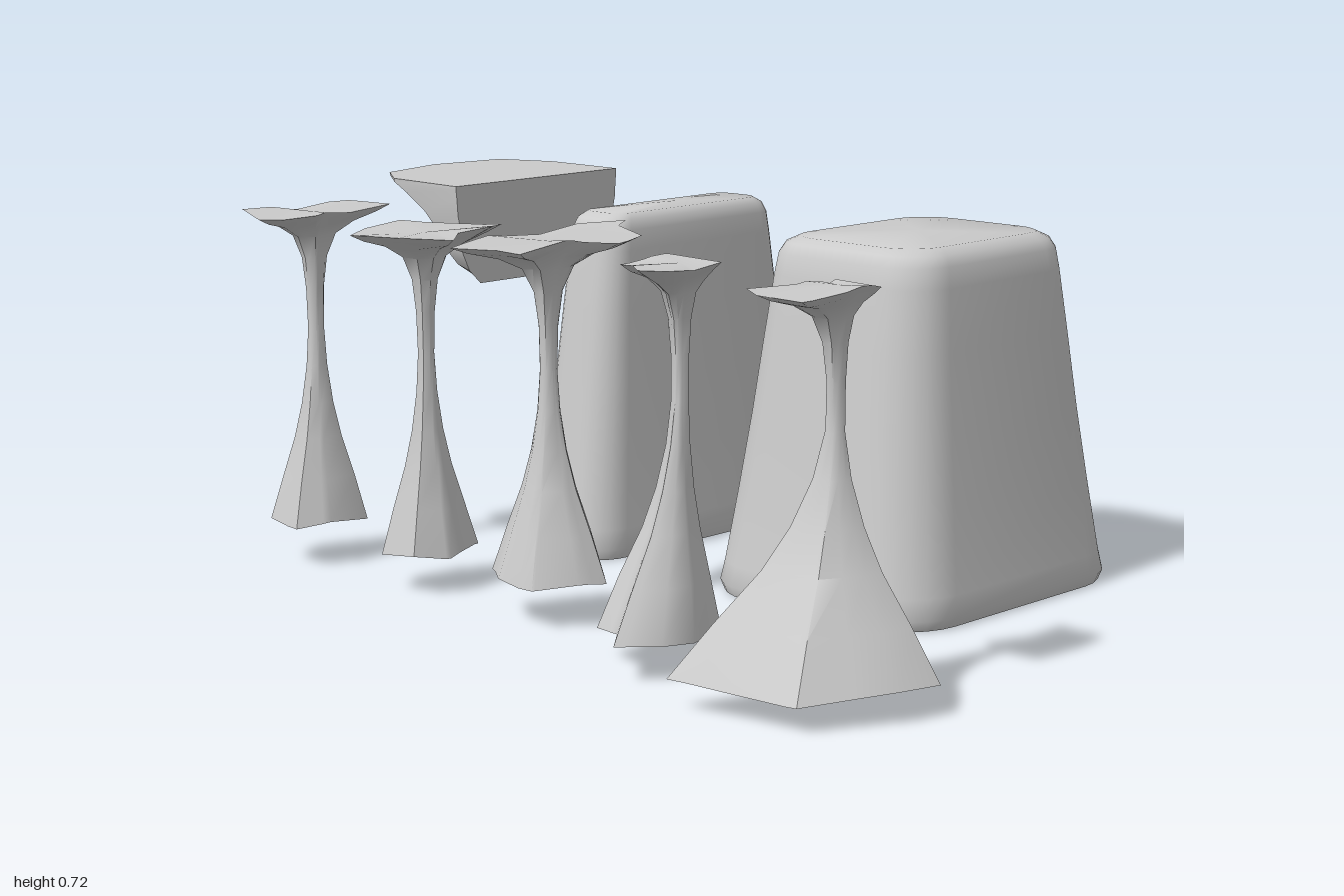
import * as THREE from 'three';
import { toCreasedNormals } from 'three/addons/utils/BufferGeometryUtils.js';

const stone = new THREE.MeshStandardMaterial({ color: 0xcccccc, side: THREE.DoubleSide });

// Closed skin over rings of [x, y, z] listed from bottom to top; lift moves the end centres.
function loft(name, rings, crease, bottomLift = 0, topLift = 0, hub = null) {
  const n = rings[0].length;
  const pos = rings.flat(2);
  const index = [];
  for (let r = 0; r < rings.length - 1; r++) {
    for (let i = 0; i < n; i++) {
      const a = r * n + i, b = r * n + (i + 1) % n;
      index.push(a, a + n, b, b, a + n, b + n);
    }
  }
  const addCap = (r, lift, up) => {
    const c = [0, 1, 2].map(k => rings[r].reduce((s, p) => s + p[k], 0) / n);
    if (hub) [c[0], c[2]] = hub;
    c[1] += lift;
    const id = pos.length / 3;
    pos.push(...c);
    for (let i = 0; i < n; i++) {
      const a = r * n + i, b = r * n + (i + 1) % n;
      index.push(id, up ? b : a, up ? a : b);
    }
  };
  addCap(0, bottomLift, false);
  addCap(rings.length - 1, topLift, true);
  const geo = new THREE.BufferGeometry();
  geo.setAttribute('position', new THREE.Float32BufferAttribute(pos, 3));
  geo.setIndex(index);
  const mesh = new THREE.Mesh(toCreasedNormals(geo, crease), stone);
  mesh.name = name;
  return mesh;
}

// Rounded rectangle ring with half sizes a (x) and b (z)
function roundedRing(cx, cz, y, a, b, r) {
  const ring = [], steps = 6;
  [[1, 1], [-1, 1], [-1, -1], [1, -1]].forEach(([sx, sz], q) => {
    for (let i = 0; i <= steps; i++) {
      const t = (q + i / steps) * Math.PI / 2;
      ring.push([cx + sx * (a - r) + r * Math.cos(t), y, cz + sz * (b - r) + r * Math.sin(t)]);
    }
  });
  return ring;
}

// Tapered block: rows are [height, inset x, inset z]
function block(name, cx, cz, a, b, radius) {
  const rows = [
    [0, 0.008, 0.008], [0.02, 0, 0.002], [0.06, 0.007, 0.01], [0.2, 0.026, 0.032],
    [0.35, 0.045, 0.054], [0.5, 0.062, 0.073], [0.62, 0.075, 0.09], [0.66, 0.081, 0.097],
    [0.68, 0.092, 0.108], [0.692, 0.115, 0.13],
  ];
  const k = a < 0.2 ? 0.55 : 1;  // the narrow block tapers less across x
  const rings = rows.map(([y, ix, iz]) =>
    roundedRing(cx, cz, y, a - ix * k, b - iz, Math.max(radius - ix * 0.45, 0.02)));
  return loft(name, rings, 0.9, 0, 0.004);
}

// Distance from hub to a star-shaped outline along a direction
function reach(outline, [hx, hz], t) {
  const dx = Math.cos(t), dz = Math.sin(t);
  let best = 0;
  outline.forEach(([x1, z1], i) => {
    const [x2, z2] = outline[(i + 1) % outline.length];
    const ex = x2 - x1, ez = z2 - z1, det = ex * dz - ez * dx;
    if (Math.abs(det) < 1e-9) return;
    const px = x1 - hx, pz = z1 - hz;
    const d = (ex * pz - ez * px) / det;
    const s = (dx * pz - dz * px) / det;
    if (d > 0 && s >= -1e-6 && s <= 1 + 1e-6) best = Math.max(best, d);
  });
  return best;
}

// Pillar flaring from a thin neck to a ragged foot and a thin ragged cap
function pillar(name, hub, footY, topY, foot, cap) {
  const angles = [...foot, ...cap]
    .map(([x, z]) => Math.atan2(z - hub[1], x - hub[0]))
    .sort((p, q) => p - q)
    .filter((t, i, all) => i === 0 || t - all[i - 1] > 0.03);
  // [height fraction, foot share, cap share, neck radius]
  const rows = [
    [0, 1, 0, 0], [0.14, 0.72, 0, 0.002], [0.27, 0.42, 0, 0.006], [0.38, 0.24, 0, 0.008],
    [0.5, 0.1, 0, 0.011], [0.62, 0.02, 0, 0.014], [0.75, 0, 0.03, 0.014], [0.85, 0, 0.08, 0.014],
    [0.92, 0, 0.2, 0.014], [0.955, 0, 0.46, 0.01], [0.98, 0, 0.82, 0], [1, 0, 1, 0],
  ];
  const rings = rows.map(([f, wf, wc, r]) => angles.map(t => {
    const d = wf * reach(foot, hub, t) + wc * reach(cap, hub, t) + r;
    const wave = 0.006 * Math.sin(3 * t + hub[0] * 9) * (wf === 1 || wc > 0.8 ? 1 : 0);
    return [hub[0] + d * Math.cos(t), footY + f * (topY - footY) + wave, hub[1] + d * Math.sin(t)];
  }));
  return loft(name, rings, 0.75, 0.02, -0.003, hub);
}

export function createModel() {
  const group = new THREE.Group();
  group.name = 'rockFormations';

  // Two standing blocks
  group.add(block('wideBlock', 0.405, -0.31, 0.275, 0.34, 0.13));
  group.add(block('narrowBlock', -0.25, -0.31, 0.117, 0.34, 0.085));

  // Overhanging ledge with a flat wall at x = -0.65
  const ledge = [[-0.65, -0.07], [-0.86, -0.08], [-0.955, -0.15], [-1, -0.32],
    [-0.975, -0.5], [-0.85, -0.55], [-0.65, -0.55]];
  const ledgeRows = [[0.5, 0.06, 0.72], [0.53, 0.22, 0.85], [0.57, 0.34, 0.93], [0.62, 0.45, 0.95],
    [0.65, 0.56, 0.98], [0.685, 0.82, 0.99], [0.705, 0.99, 1], [0.713, 1, 1]];
  group.add(loft('ledge', ledgeRows.map(([y, sx, sz]) => ledge.map(([x, z]) =>
    [-0.65 + (x + 0.65) * sx, y - (y < 0.6 ? (x + 0.65) * 0.04 : 0), -0.31 + (z + 0.31) * sz])), 0.7));

  // Row of five pillars, outlines as [x, z]
  group.add(pillar('pillar1', [-0.585, 0.37], 0.085, 0.71,
    [[-0.52, 0.3], [-0.515, 0.4], [-0.55, 0.46], [-0.63, 0.46], [-0.66, 0.42], [-0.67, 0.36], [-0.63, 0.3], [-0.58, 0.28]],
    [[-0.55, 0.2], [-0.54, 0.3], [-0.5, 0.43], [-0.57, 0.52], [-0.66, 0.49], [-0.655, 0.35], [-0.62, 0.25]]));
  group.add(pillar('pillar2', [-0.255, 0.37], 0.075, 0.7,
    [[-0.2, 0.29], [-0.18, 0.38], [-0.21, 0.45], [-0.29, 0.46], [-0.33, 0.4], [-0.32, 0.31], [-0.26, 0.27]],
    [[-0.21, 0.21], [-0.17, 0.27], [-0.18, 0.35], [-0.14, 0.4], [-0.18, 0.5], [-0.32, 0.5],
      [-0.37, 0.42], [-0.37, 0.33], [-0.28, 0.21]]));
  group.add(pillar('pillar3', [0.085, 0.37], 0.08, 0.715,
    [[0.15, 0.29], [0.205, 0.34], [0.19, 0.4], [0.13, 0.46], [0.04, 0.46], [-0.03, 0.41], [0, 0.31], [0.08, 0.27]],
    [[0.03, 0.11], [0.07, 0.17], [0.16, 0.2], [0.19, 0.29], [0.15, 0.37], [0.17, 0.52], [0.1, 0.51],
      [0.04, 0.57], [0, 0.44], [0.01, 0.3], [-0.01, 0.2]]));
  group.add(pillar('pillar4', [0.43, 0.38], 0.06, 0.71,
    [[0.36, 0.35], [0.5, 0.35], [0.54, 0.46], [0.53, 0.54], [0.48, 0.6], [0.42, 0.53], [0.34, 0.5], [0.34, 0.44], [0.29, 0.39]],
    [[0.37, 0.35], [0.5, 0.35], [0.5, 0.42], [0.51, 0.5], [0.48, 0.54], [0.43, 0.5], [0.41, 0.46], [0.35, 0.45], [0.36, 0.4]]));
  group.add(pillar('pillar5', [0.79, 0.38], 0.05, 0.71,
    [[0.72, 0.35], [1, 0.35], [0.985, 0.44], [0.9, 0.6], [0.76, 0.62], [0.65, 0.645], [0.68, 0.55], [0.69, 0.42]],
    [[0.76, 0.35], [0.86, 0.35], [0.87, 0.45], [0.86, 0.55], [0.77, 0.56], [0.73, 0.54], [0.76, 0.45]]));

  return group;
}
